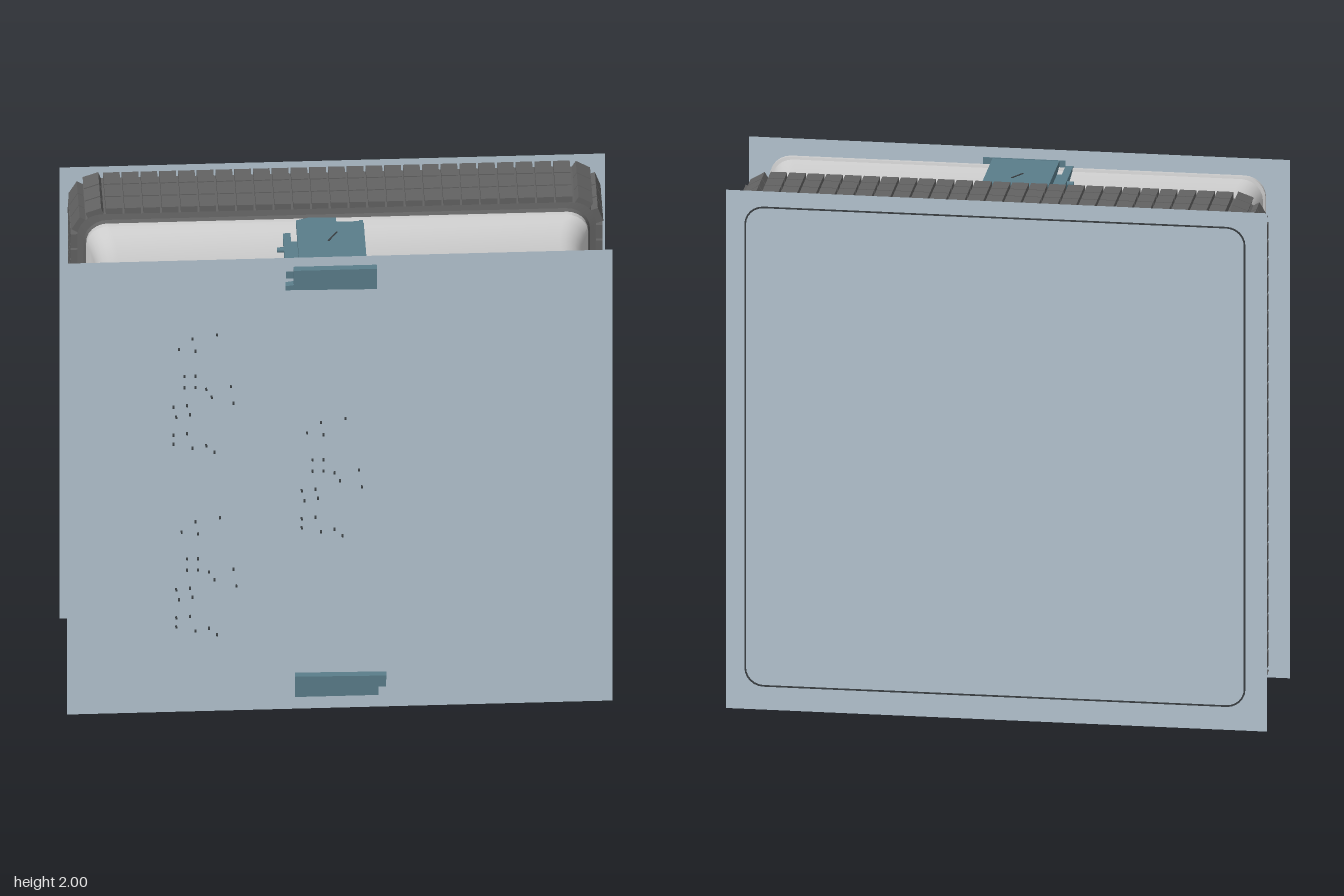
import * as THREE from 'three';
import { mergeGeometries, toCreasedNormals } from 'three/addons/utils/BufferGeometryUtils.js';

const CX = 0.005, CY = 1.015; // centre of the case
const mat = (color, extra = {}) => new THREE.MeshStandardMaterial({ color, ...extra });
const shell = mat(0xcccccc);
const rubber = mat(0x626262);
const groove = mat(0x3a3f42);
const panel = mat(0xb4c4d0, { side: THREE.DoubleSide });
const teal = mat(0x5a7d8a);

function add(parent, name, geometry, material, x = 0, y = 0, z = 0) {
  const m = new THREE.Mesh(geometry, material);
  m.name = name;
  m.position.set(x, y, z);
  parent.add(m);
  return m;
}

// Points of a rounded square, counter-clockwise
function roundedSquare(half, radius, steps = 6) {
  const pts = [];
  for (let c = 0; c < 4; c++) {
    const mid = Math.PI / 4 + c * Math.PI / 2;
    const ox = Math.sign(Math.cos(mid)) * (half - radius);
    const oy = Math.sign(Math.sin(mid)) * (half - radius);
    for (let i = 0; i <= steps; i++) {
      const a = (c + i / steps) * Math.PI / 2;
      pts.push(new THREE.Vector2(ox + radius * Math.cos(a), oy + radius * Math.sin(a)));
    }
  }
  return pts;
}

// Capped loft of rounded squares through [half, z] pairs, front to back
function loft(profile, radius) {
  const pos = [], index = [];
  let n = 0;
  for (const [half, z] of profile) {
    const ring = roundedSquare(half, radius);
    n = ring.length;
    ring.forEach((p) => pos.push(p.x, p.y, z));
  }
  const last = profile.length - 1, front = profile.length * n, back = front + 1;
  pos.push(0, 0, profile[0][1], 0, 0, profile[last][1]);
  for (let j = 0; j < n; j++) {
    const k = (j + 1) % n;
    for (let i = 0; i < last; i++) {
      const a = i * n + j, b = i * n + k;
      index.push(a, a + n, b, b, a + n, b + n);
    }
    index.push(front, j, k, back, last * n + k, last * n + j);
  }
  const g = new THREE.BufferGeometry();
  g.setAttribute('position', new THREE.Float32BufferAttribute(pos, 3));
  g.setIndex(index);
  return toCreasedNormals(g, 0.6);
}

// Three rows of blocks set around a rounded square
function treadBlocks() {
  const half = 0.95, r = 0.1, depth = 0.05, count = 108;
  const path = new THREE.CurvePath();
  const pts = roundedSquare(half, r, 8);
  pts.forEach((p, i) => path.add(new THREE.LineCurve(p, pts[(i + 1) % pts.length])));
  const pitch = path.getLength() / count, parts = [];
  for (let i = 0; i < count; i++) {
    const u = (i + 0.5) / count;
    const p = path.getPointAt(u);
    const a = path.getPointAt(u - 0.3 / count), b = path.getPointAt(u + 0.3 / count);
    const angle = Math.atan2(b.y - a.y, b.x - a.x);
    for (const z of [-0.104, -0.184, -0.264]) {
      const g = new THREE.BoxGeometry(pitch - 0.008, depth, 0.074);
      g.rotateZ(angle);
      g.translate(p.x, p.y, z);
      parts.push(g);
    }
  }
  return mergeGeometries(parts);
}

function extrude(points, depth) {
  const shape = new THREE.Shape(points.map(([x, y]) => new THREE.Vector2(x, y)));
  return new THREE.ExtrudeGeometry(shape, { depth, bevelEnabled: false });
}

// Latch over the case edge, modelled at the top
function createLatch(name) {
  const g = new THREE.Group();
  g.name = name;
  // Hooked lip at the front
  add(g, 'latchLip', extrude([[-0.2, 1.875], [0.135, 1.87], [0.135, 1.96], [-0.17, 1.96],
    [-0.17, 1.897], [-0.2, 1.893]], 0.03), teal, 0, 0, 0.295);
  // Stepped top plate
  const plate = extrude([[-0.147, -0.31], [0.1, -0.31], [0.1, -0.02], [0.09, -0.01], [0, -0.01],
    [0, 0.018], [-0.1, 0.022], [-0.147, 0.005]], 0.025);
  plate.rotateX(-Math.PI / 2);
  add(g, 'latchPlate', plate, teal, 0, 1.933, 0);
  // Side cheeks that follow the waist of the case
  const cheek = extrude([[-0.3, 1.955], [-0.3, 1.92], [-0.22, 1.91], [-0.12, 1.907],
    [-0.05, 1.92], [0, 1.94], [0, 1.955]], 0.015);
  cheek.rotateY(Math.PI / 2);
  for (const x of [-0.145, 0.083]) add(g, 'latchCheek', cheek, teal, x, 0, 0);
  // Side rail with its pin
  add(g, 'latchRail', new THREE.BoxGeometry(0.028, 0.03, 0.25), teal, -0.184, 1.925, 0.175);
  add(g, 'railBridge', new THREE.BoxGeometry(0.06, 0.015, 0.2), teal, -0.16, 1.915, 0.18);
  const pin = new THREE.CylinderGeometry(0.01, 0.01, 0.035, 10);
  pin.rotateZ(Math.PI / 2);
  add(g, 'latchPin', pin, teal, -0.205, 1.925, 0.135);
  // Slanted slot
  const slot = add(g, 'latchSlot', new THREE.BoxGeometry(0.006, 0.004, 0.065), groove, -0.018, 1.958, 0.105);
  slot.rotation.y = -0.55;
  return g;
}

export function createModel() {
  const model = new THREE.Group();
  model.name = 'case';

  // Waisted case body with a thin front rim
  add(model, 'caseBody', loft([[0.917, 0.29], [0.917, 0.275], [0.908, 0.272], [0.902, 0.24],
    [0.894, 0.19], [0.89, 0.14], [0.89, 0.09], [0.894, 0.05], [0.905, 0], [0.92, -0.025],
    [0.92, -0.045]], 0.08), shell, CX, CY + 0.004, 0);

  // Rubber band behind it
  add(model, 'bandCore', loft([[0.922, -0.035], [0.928, -0.062], [0.95, -0.067], [0.95, -0.301],
    [0.926, -0.303], [0.926, -0.324]], 0.09), rubber, CX, CY, 0);
  add(model, 'bandBlocks', treadBlocks(), rubber, CX, CY, 0);

  // Thin rim showing through the back panel
  const rim = new THREE.Shape(roundedSquare(0.926, 0.07));
  rim.holes.push(new THREE.Path(roundedSquare(0.92, 0.065)));
  add(model, 'backRim', new THREE.ExtrudeGeometry(rim, { depth: 0.004, bevelEnabled: false }),
    groove, CX, CY, -0.328);

  // Flat front and back panels
  const sheet = new THREE.PlaneGeometry(2, 2);
  add(model, 'frontPanel', sheet, panel, 0, 1, 0.298);
  add(model, 'backPanel', sheet, panel, 0, 1, -0.326);

  // Latches: the bottom one is the top one turned half round
  model.add(createLatch('topLatch'));
  const bottom = createLatch('bottomLatch');
  bottom.rotation.z = Math.PI;
  bottom.position.set(-0.03, 2.03, 0);
  model.add(bottom);

  // Three groups of tiny studs on the front panel
  const studs = [[-0.54, 1.655], [-0.45, 1.67], [-0.59, 1.61], [-0.53, 1.6], [-0.57, 1.49],
    [-0.53, 1.49], [-0.57, 1.44], [-0.53, 1.44], [-0.49, 1.43], [-0.47, 1.395], [-0.4, 1.44],
    [-0.39, 1.365], [-0.61, 1.355], [-0.56, 1.36], [-0.6, 1.31], [-0.55, 1.32], [-0.61, 1.23],
    [-0.56, 1.235], [-0.61, 1.19], [-0.54, 1.17], [-0.49, 1.18], [-0.46, 1.15]];
  const parts = [];
  for (const [dx, dy] of [[0, 0], [0.01, -0.81], [0.47, -0.385]]) {
    for (const [x, y] of studs) {
      parts.push(new THREE.BoxGeometry(0.007, 0.007, 0.015).translate(x + dx, y + dy, 0.302));
    }
  }
  add(model, 'frontStuds', mergeGeometries(parts), groove);
  return model;
}
